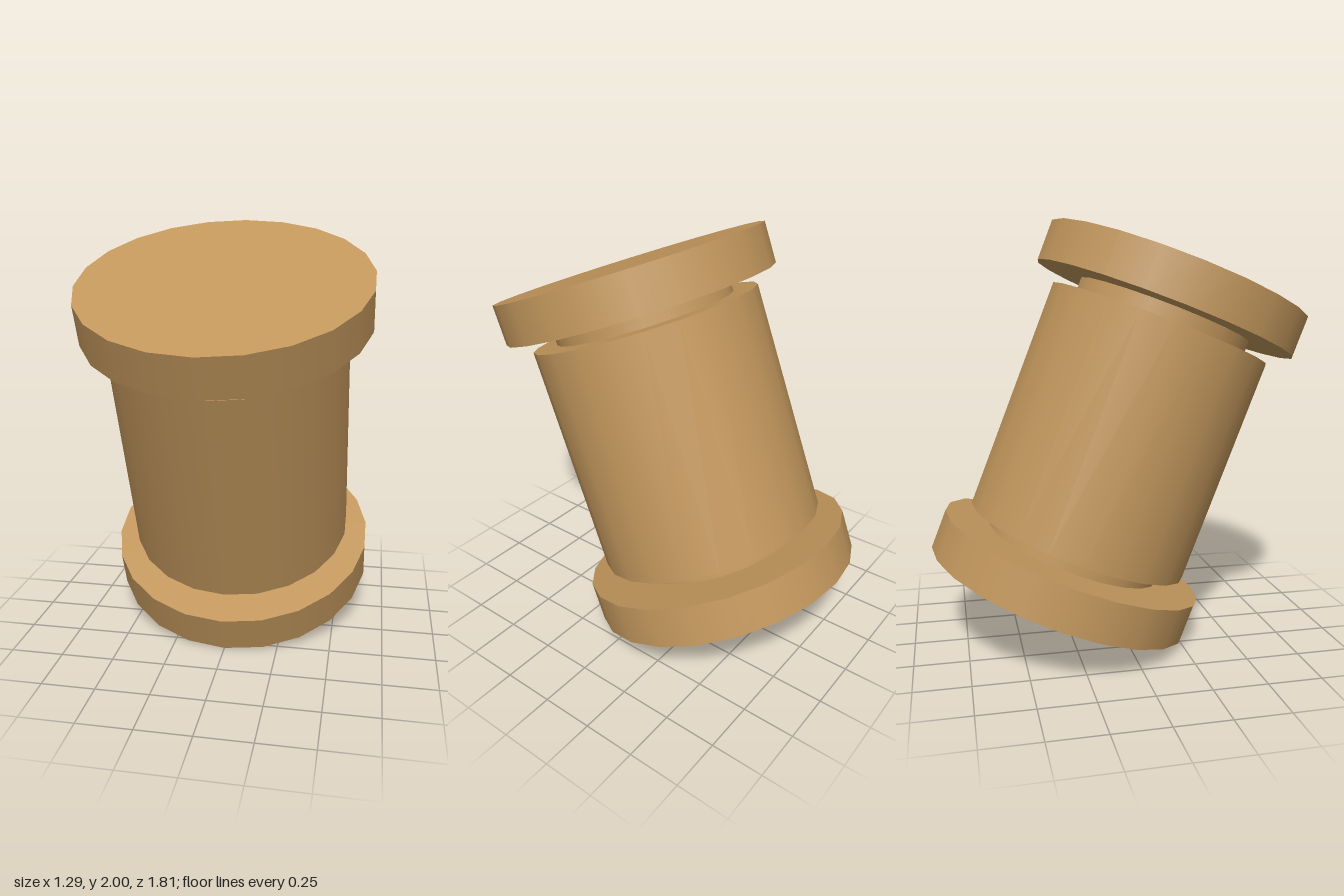
import * as THREE from 'three';

export function createModel() {
  const model = new THREE.Group();
  model.name = 'spool';
  const wood = new THREE.MeshStandardMaterial({ color: 0xc1965c });
  wood.name = 'wood';

  // All parts share one axis, leaning towards the front
  const axis = new THREE.Group();
  axis.name = 'tiltedSpool';
  axis.position.y = 1;
  axis.rotation.x = 0.373;
  model.add(axis);

  const SIDES = 22;
  const bodyHalf = 0.555, gap = 0.071, capHeight = 0.191;

  function disc(name, radius, height, y) {
    const mesh = new THREE.Mesh(new THREE.CylinderGeometry(radius, radius, height, SIDES), wood);
    mesh.name = name;
    mesh.position.y = y;
    axis.add(mesh);
  }

  disc('body', 0.548, bodyHalf * 2, 0);

  // Narrow neck and wide cap at each end
  for (const [end, s] of [['upper', 1], ['lower', -1]]) {
    disc(end + 'Neck', 0.432, gap, s * (bodyHalf + gap / 2));
    disc(end + 'Cap', 0.652, capHeight, s * (bodyHalf + gap + capHeight / 2));
  }
  return model;
}
